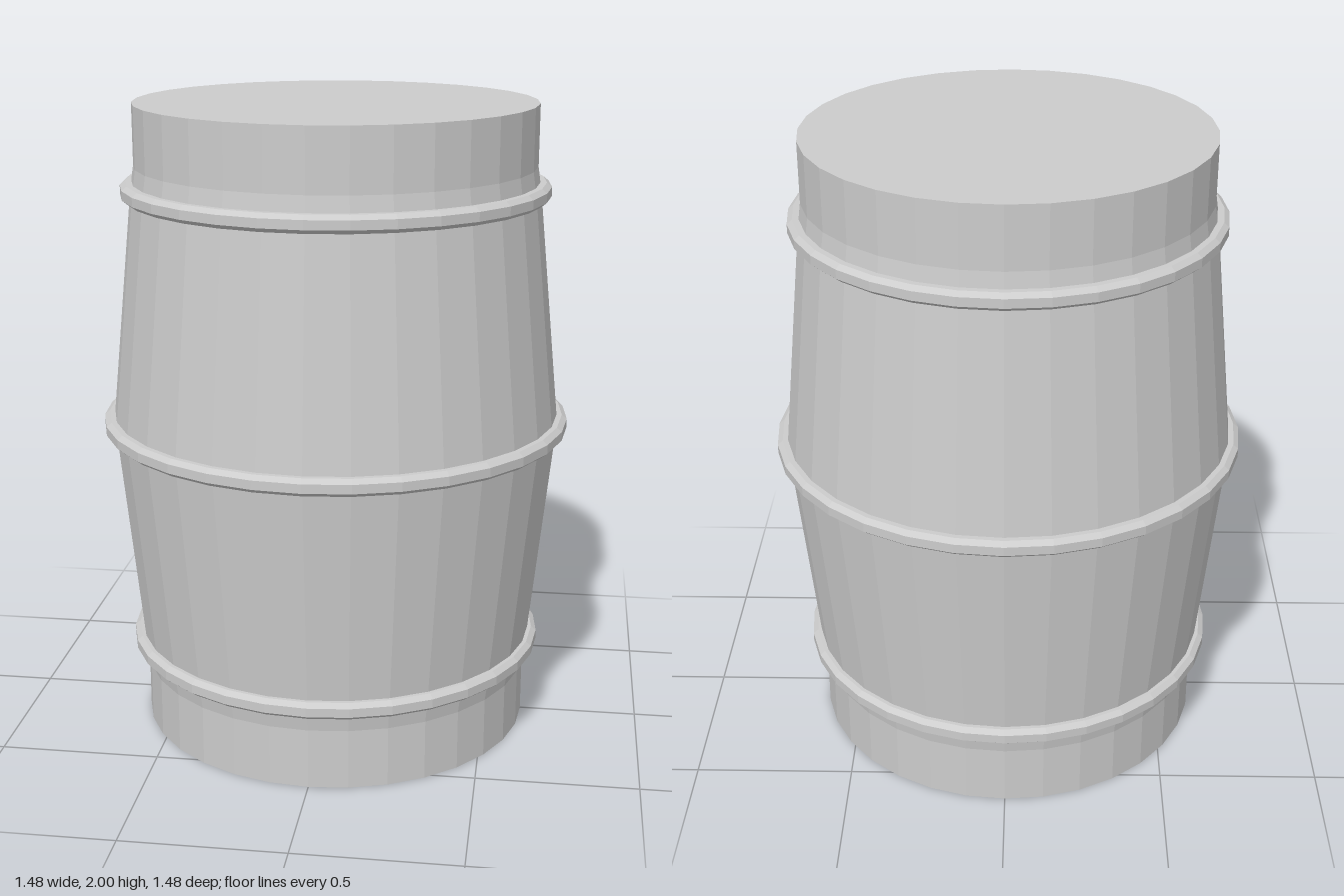
import * as THREE from 'three';

const SIDES = 32;

// Spins a list of [radius, height] points around the y axis
function spin(name, points, material) {
  const profile = points.map(([r, y]) => new THREE.Vector2(r, y));
  const mesh = new THREE.Mesh(new THREE.LatheGeometry(profile, SIDES), material);
  mesh.name = name;
  return mesh;
}

export function createModel() {
  const group = new THREE.Group();
  group.name = 'barrel';
  const grey = new THREE.MeshStandardMaterial({ color: 0xcccccc, flatShading: true });
  grey.name = 'light grey';

  // Closed body: straight rims, tapered staves, widest at the middle
  group.add(spin('body', [
    [0, 0], [0.622, 0], [0.622, 0.19], [0.634, 0.27], [0.708, 1],
    [0.634, 1.73], [0.622, 1.81], [0.622, 2], [0, 2],
  ], grey));

  // Hoops with bevelled outer edges
  const hoops = [['lowerHoop', 0.27, 0.665], ['middleHoop', 1.0, 0.738], ['upperHoop', 1.735, 0.665]];
  for (const [name, y, r] of hoops) {
    group.add(spin(name, [
      [r - 0.05, y - 0.027], [r - 0.016, y - 0.027], [r, y - 0.014],
      [r, y + 0.014], [r - 0.016, y + 0.027], [r - 0.05, y + 0.027],
    ], grey));
  }
  return group;
}
